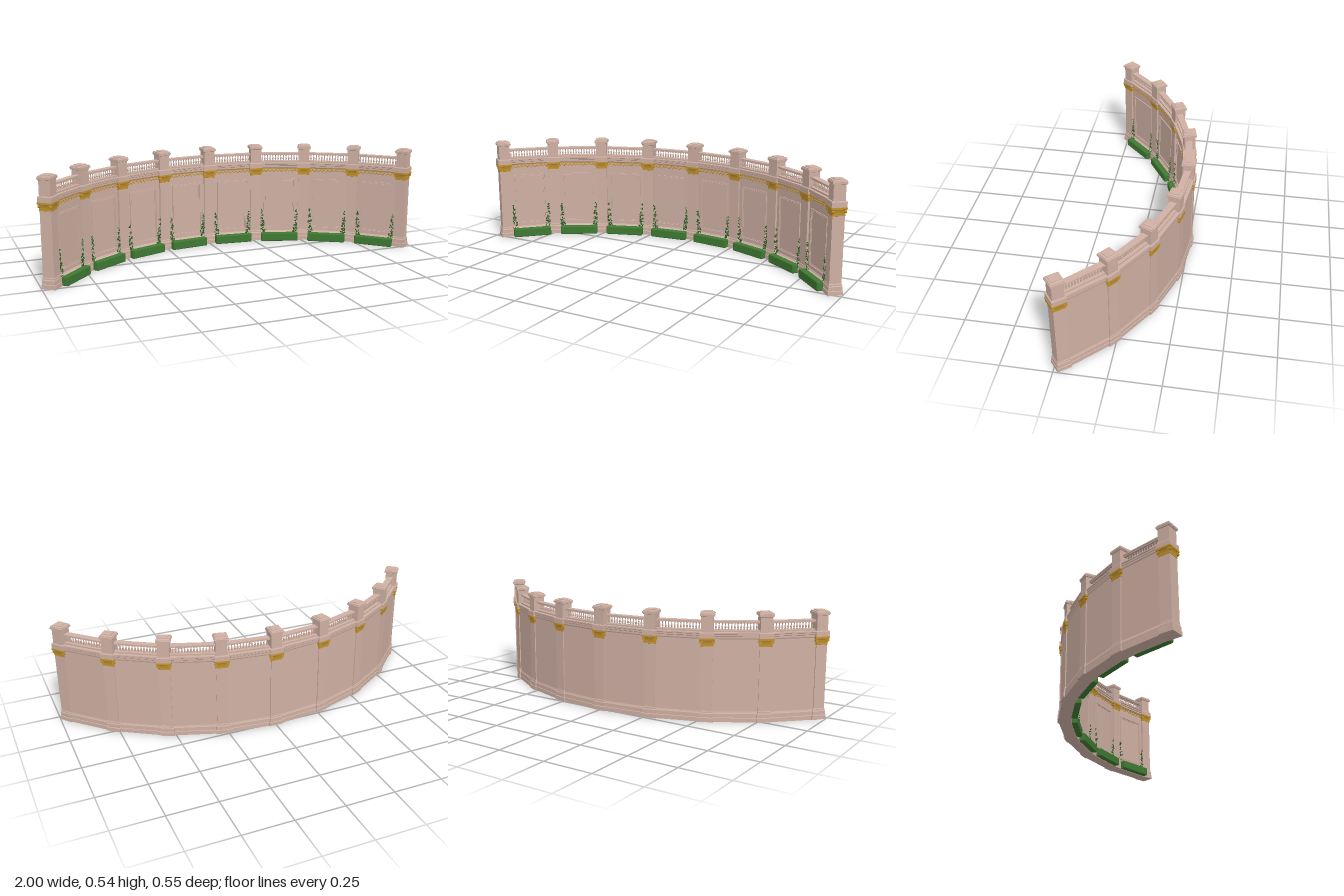
import * as THREE from 'three';
import { mergeGeometries } from 'three/addons/utils/BufferGeometryUtils.js';
import { RoundedBoxGeometry } from 'three/addons/geometries/RoundedBoxGeometry.js';

const R = 1.2137, CENTRE_Z = 0.978, BAYS = 8, STEP = Math.PI / 14;
const CHORD = 2 * R * Math.sin(STEP / 2);
const V2 = (x, y) => new THREE.Vector2(x, y);

function material(name, color) {
  const m = new THREE.MeshStandardMaterial({ color });
  m.name = name;
  return m;
}

function add(parent, name, geometry, mat) {
  const mesh = new THREE.Mesh(geometry, mat);
  mesh.name = name;
  parent.add(mesh);
  return mesh;
}

function box(w, h, d, x, y, z) {
  return new THREE.BoxGeometry(w, h, d).translate(x, y, z);
}

// Square stack: [full width, y] pairs turned with four flat sides
function squareStack(pairs) {
  const pts = pairs.map(([w, y]) => V2(w * Math.SQRT1_2, y));
  const g = new THREE.LatheGeometry(pts, 4, Math.PI / 4).toNonIndexed();
  g.computeVertexNormals();
  return g;
}

// Cross-section of [z, y] points run along x
function runAlongX(points, length) {
  const g = new THREE.ExtrudeGeometry(new THREE.Shape(points.map(p => V2(...p))), { depth: length, bevelEnabled: false });
  return g.rotateY(-Math.PI / 2).translate(length / 2, 0, 0);
}

function rect(target, w, y0, y1) {
  target.moveTo(-w, y0);
  target.lineTo(w, y0);
  target.lineTo(w, y1);
  target.lineTo(-w, y1);
  target.closePath();
  return target;
}

// Rectangular moulding lying on the wall face
function frame(w, y0, y1, t, depth, z) {
  const shape = rect(new THREE.Shape(), w, y0, y1);
  shape.holes.push(rect(new THREE.Path(), w - t, y0 + t, y1 - t));
  return new THREE.ExtrudeGeometry(shape, { depth, bevelEnabled: false }).translate(0, 0, z);
}

function seeded(seed) {
  let s = seed;
  return () => (s = (s * 16807) % 2147483647) / 2147483647;
}

// Leaves thinning out toward the top of a climbing plant
function vineLeaves(seed, side) {
  const rnd = seeded(seed * 7919 + 13), leaves = [];
  for (let i = 0; i < 46; i++) {
    const t = Math.pow(rnd(), 1.3);
    const spread = 0.014 * (1 - t * 0.7);
    const leaf = new THREE.OctahedronGeometry(0.0048 - t * 0.0012);
    leaf.scale(1, 1.2, 0.5).rotateZ(rnd() * 3).rotateY(rnd() - 0.5);
    leaf.translate(side * (0.091 + t * 0.006) + (rnd() - 0.5) * 2 * spread, 0.04 + t * 0.135, 0.02 + rnd() * 0.008);
    leaves.push(leaf);
  }
  return mergeGeometries(leaves);
}

export function createModel() {
  const model = new THREE.Group();
  model.name = 'curvedGardenWall';
  const stone = material('pink stone', 0xcfb0a3);
  const gold = material('gold', 0xc4932f);
  const hedgeGreen = material('hedge green', 0x3f7a33);
  const leafGreen = material('leaf green', 0x2c6127);

  // Group standing on the arc, its +z facing the inside of the curve
  function place(name, angle, radius) {
    const g = new THREE.Group();
    g.name = name;
    g.position.set(radius * Math.sin(angle), 0, CENTRE_Z - radius * Math.cos(angle));
    g.rotation.y = -angle;
    model.add(g);
    return g;
  }

  // Pillar shapes
  const pillarGeo = squareStack([
    [0, 0], [0.072, 0], [0.072, 0.02], [0.067, 0.022], [0.067, 0.041], [0.062, 0.045], [0.062, 0.052],
    [0.058, 0.055], [0.058, 0.41], [0.072, 0.41], [0.072, 0.434], [0.068, 0.438], [0.058, 0.438],
    [0.058, 0.511], [0.066, 0.513], [0.066, 0.517], [0.071, 0.517], [0.071, 0.525], [0.066, 0.526],
    [0.064, 0.531], [0.058, 0.531], [0.044, 0.533], [0.044, 0.536], [0, 0.536]]);
  const capitalGeo = squareStack([
    [0.0585, 0.37], [0.061, 0.371], [0.0605, 0.376], [0.062, 0.385], [0.066, 0.394],
    [0.071, 0.4], [0.075, 0.401], [0.075, 0.41], [0.058, 0.41]]);
  const scrolls = [];
  for (const x of [-1, 1]) for (const z of [-1, 1]) {
    scrolls.push(new THREE.CylinderGeometry(0.008, 0.008, 0.012, 12).rotateX(Math.PI / 2)
      .translate(x * 0.029, 0.392, z * 0.029));
  }
  const scrollGeo = mergeGeometries(scrolls);

  // Pillars
  for (let i = 0; i <= BAYS; i++) {
    const pillar = place('pillar', (i - BAYS / 2) * STEP, R);
    add(pillar, 'pillarShaft', pillarGeo, stone);
    add(pillar, 'capital', capitalGeo, gold);
    add(pillar, 'capitalScrolls', scrollGeo, gold);
  }

  // Wall section with stepped base and cornice
  const wallGeo = runAlongX([
    [-0.033, 0], [0.03, 0], [0.03, 0.02], [0.025, 0.022], [0.025, 0.041], [0.019, 0.045], [0.015, 0.052],
    [0.015, 0.405], [0.022, 0.41], [0.022, 0.419], [0.026, 0.421], [0.026, 0.429], [0.031, 0.431], [0.031, 0.437],
    [-0.034, 0.437], [-0.034, 0.431], [-0.031, 0.429], [-0.031, 0.421], [-0.029, 0.419], [-0.029, 0.41],
    [-0.027, 0.405], [-0.027, 0.052], [-0.029, 0.045], [-0.031, 0.041], [-0.031, 0.022], [-0.033, 0.02]], CHORD);
  const frameGeo = mergeGeometries([
    frame(0.086, 0.066, 0.345, 0.006, 0.005, 0.015), frame(0.078, 0.074, 0.337, 0.004, 0.003, 0.015)]);

  // Balustrade
  const railLength = CHORD - 0.05;
  const railGeo = mergeGeometries([
    box(railLength, 0.008, 0.032, 0, 0.441, 0),
    box(railLength, 0.005, 0.026, 0, 0.4815, 0),
    box(railLength, 0.006, 0.034, 0, 0.487, 0)]);
  const balusterProfile = [[0.0045, 0.445], [0.0045, 0.448], [0.0025, 0.45], [0.005, 0.456], [0.0042, 0.461],
    [0.0022, 0.468], [0.0024, 0.473], [0.0042, 0.476], [0.0042, 0.479]].map(p => V2(...p));
  const balusters = [];
  for (let i = 0; i < 14; i++) {
    balusters.push(new THREE.LatheGeometry(balusterProfile, 6).translate((i - 6.5) * 0.0148, 0, 0));
  }
  const balusterGeo = mergeGeometries(balusters);

  // Gilded frieze of beads and small swags
  const frieze = [box(CHORD - 0.06, 0.004, 0.006, 0, 0.404, 0.017)];
  for (let i = 0; i < 10; i++) {
    const x = (i - 4.5) * 0.021;
    frieze.push(new THREE.TorusGeometry(0.009, 0.0017, 4, 8, Math.PI).rotateZ(Math.PI)
      .translate(x, 0.399, 0.017));
    frieze.push(new THREE.SphereGeometry(0.0028, 6, 4).translate(x + 0.0105, 0.397, 0.018));
    frieze.push(new THREE.SphereGeometry(0.0022, 6, 4).translate(x, 0.387, 0.018));
  }
  const friezeGeo = mergeGeometries(frieze);
  const hedgeGeo = new RoundedBoxGeometry(0.205, 0.046, 0.034, 1, 0.006).translate(0, 0.023, 0.046);

  // Bays
  for (let i = 0; i < BAYS; i++) {
    const bay = place('bay', (i + 0.5 - BAYS / 2) * STEP, R * Math.cos(STEP / 2));
    add(bay, 'wall', wallGeo, stone);
    add(bay, 'panelFrame', frameGeo, stone);
    add(bay, 'rails', railGeo, stone);
    add(bay, 'balusters', balusterGeo, stone);
    add(bay, 'frieze', friezeGeo, gold);
    add(bay, 'hedge', hedgeGeo, hedgeGreen);
    for (const side of [-1, 1]) add(bay, 'climbingVine', vineLeaves(i * 2 + (side + 3) / 2, side), leafGreen);
  }
  return model;
}
